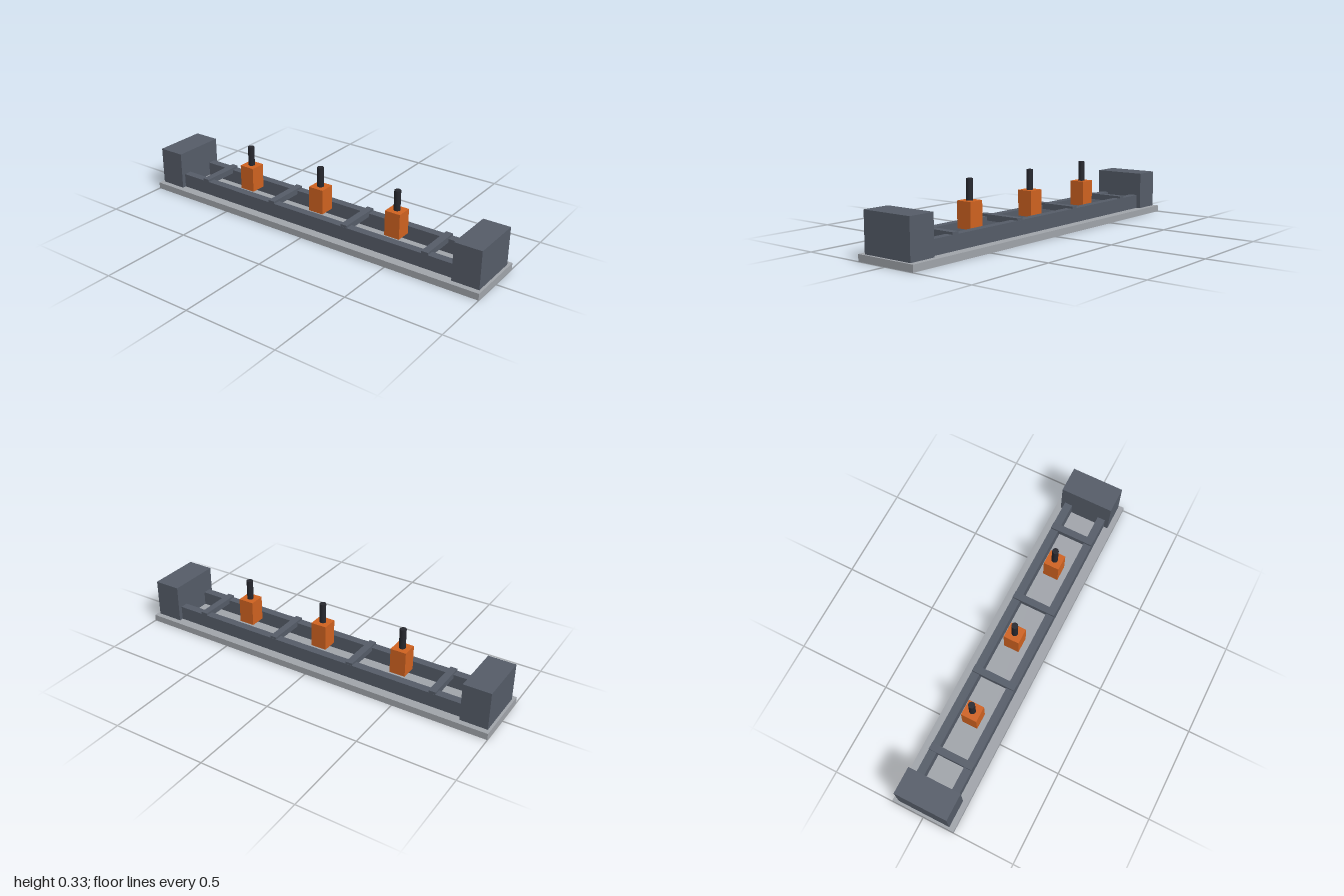
import * as THREE from 'three';

const material = (name, color) => {
  const m = new THREE.MeshStandardMaterial({ color });
  m.name = name;
  return m;
};

export function createModel() {
  const model = new THREE.Group();
  model.name = 'railFixture';
  const lightGrey = material('lightGrey', 0xa0a4aa);
  const steel = material('slateSteel', 0x555c68);
  const orange = material('orange', 0xcf6220);
  const black = material('nearBlack', 0x26272e);

  const add = (name, geometry, mat, x, y, z) => {
    const mesh = new THREE.Mesh(geometry, mat);
    mesh.name = name;
    mesh.position.set(x, y, z);
    model.add(mesh);
  };
  // Box given by its width, bottom, top and depth
  const box = (name, mat, x, z, w, y0, y1, d) =>
    add(name, new THREE.BoxGeometry(w, y1 - y0, d), mat, x, (y0 + y1) / 2, z);

  // Base plate
  box('basePlate', lightGrey, 0, 0, 2, 0, 0.035, 0.342);

  // End blocks and long rails, mirrored
  for (const s of [-1, 1]) {
    box(s > 0 ? 'leftEndBlock' : 'rightEndBlock', steel, s * 0.915, 0, 0.143, 0.035, 0.235, 0.285);
    box(s > 0 ? 'frontRail' : 'backRail', steel, 0, s * 0.099, 1.69, 0.035, 0.11, 0.043);
  }

  // Cross bars resting across the rails
  for (const x of [-0.685, -0.228, 0.228, 0.685]) {
    box('crossBar', steel, x, 0, 0.037, 0.09, 0.122, 0.24);
  }

  // Raised tool heads with their spindles
  for (const x of [-0.457, 0, 0.457]) {
    box('toolHead', orange, x, 0, 0.084, 0.092, 0.225, 0.084);
    add('spindle', new THREE.CylinderGeometry(0.017, 0.017, 0.105, 16), black, x, 0.2775, 0);
  }
  return model;
}
